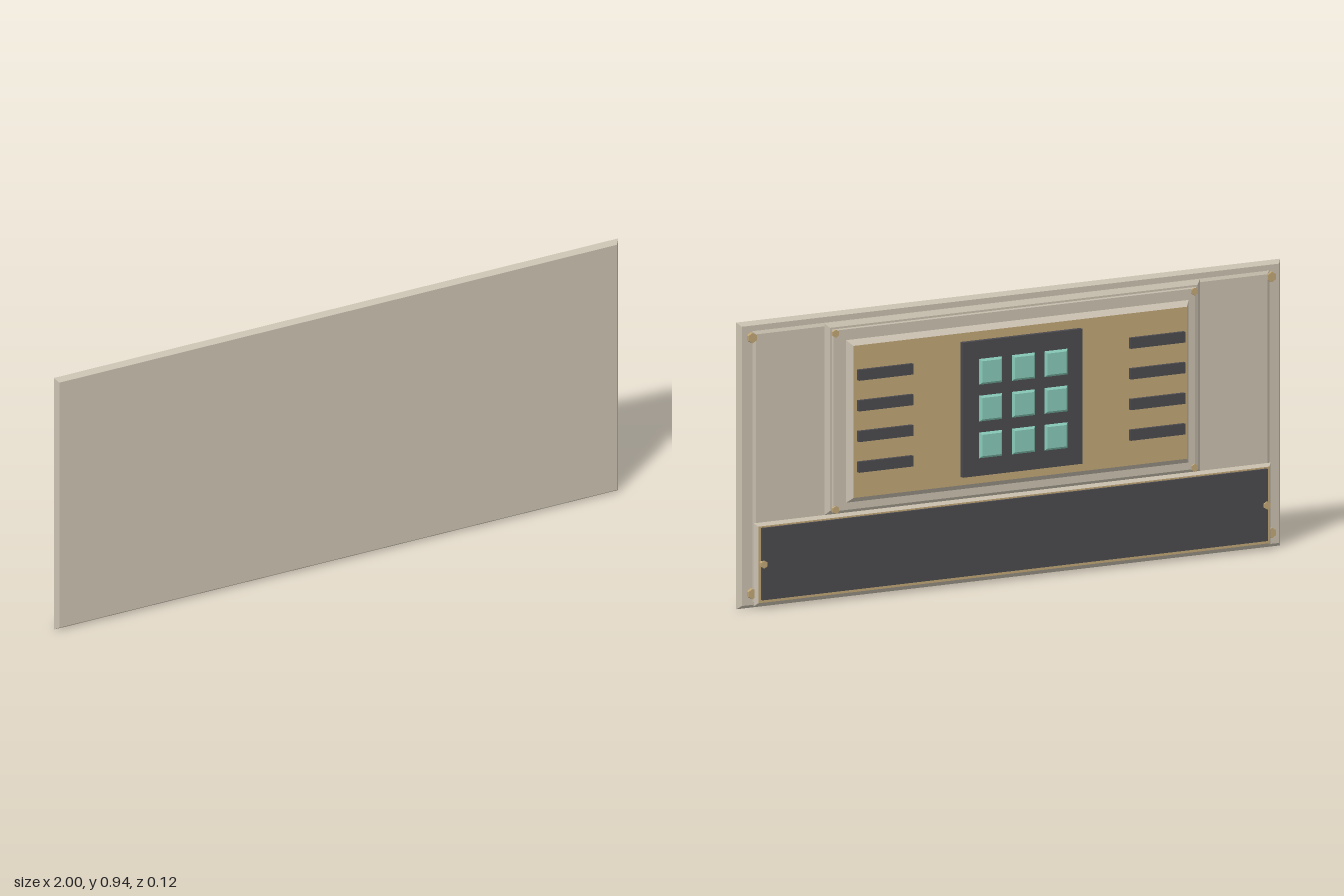
import * as THREE from 'three';

const mat = (name, color) => {
  const m = new THREE.MeshStandardMaterial({ color });
  m.name = name;
  return m;
};

export function createModel() {
  const cream = mat('warm grey shell', 0xc9c0af);
  const gold = mat('tan metal', 0xc0a575);
  const dark = mat('charcoal', 0x4a4a4e);
  const teal = mat('teal keys', 0x86c8b6);

  const model = new THREE.Group();
  model.name = 'controlPanel';

  const add = (name, geometry, material, x = 0, y = 0, z = 0) => {
    const mesh = new THREE.Mesh(geometry, material);
    mesh.name = name;
    mesh.position.set(x, y, z);
    model.add(mesh);
    return mesh;
  };

  // Plate whose edges slope to a ridge halfway through its thickness
  const plate = (name, w, y0, y1, zBack, zFront, bevel, material, x = 0) => {
    const hw = w / 2 - bevel, hh = (y1 - y0) / 2 - bevel;
    const shape = new THREE.Shape([
      new THREE.Vector2(-hw, -hh), new THREE.Vector2(hw, -hh),
      new THREE.Vector2(hw, hh), new THREE.Vector2(-hw, hh),
    ]);
    const depth = 0.001, t = (zFront - zBack - depth) / 2;
    const geo = new THREE.ExtrudeGeometry(shape, {
      depth, bevelEnabled: true, bevelSegments: 1, bevelSize: bevel, bevelThickness: t,
    });
    return add(name, geo, material, x, (y0 + y1) / 2, zBack + t);
  };

  const box = (name, x0, x1, y0, y1, z0, z1, material) =>
    add(name, new THREE.BoxGeometry(x1 - x0, y1 - y0, z1 - z0), material,
      (x0 + x1) / 2, (y0 + y1) / 2, (z0 + z1) / 2);

  // Six-sided bolt along z
  const bolt = (name, x, y, z0, z1, r) => {
    const geo = new THREE.CylinderGeometry(r, r, z1 - z0, 6).toNonIndexed();
    geo.rotateX(Math.PI / 2);
    geo.computeVertexNormals();
    add(name, geo, gold, x, y, (z0 + z1) / 2);
  };

  // Stacked backing plates
  plate('basePanel', 2, 0, 0.935, 0.03, 0.061, 0.012, cream);
  plate('backSheet', 1.9, 0.02, 0.905, 0.021, 0.033, 0.01, cream);
  plate('centrePlate', 1.38, 0.28, 0.905, 0.008, 0.03, 0.014, cream);
  plate('centreStep', 1.34, 0.288, 0.885, 0.003, 0.01, 0.004, cream);

  // Lower tray: tan face with shell-coloured rim
  plate('lowerFrame', 1.9, 0.01, 0.28, 0.008, 0.03, 0.01, [gold, cream]);
  box('lowerPanel', -0.93, 0.93, 0.03, 0.265, -0.001, 0.01, dark);

  // Console block with tan face
  plate('console', 1.26, 0.32, 0.85, -0.033, 0.004, 0.017, [gold, cream]);

  // Keypad
  box('keypad', -0.22, 0.22, 0.365, 0.805, -0.05, -0.032, dark);
  for (let row = 0; row < 3; row++) {
    for (let col = -1; col <= 1; col++) {
      const y = 0.465 + row * 0.12;
      plate('key', 0.084, y - 0.042, y + 0.042, -0.06, -0.046, 0.007, teal, col * 0.12);
    }
  }

  // Mirrored vents and bolts
  for (const s of [-1, 1]) {
    for (let i = 0; i < 4; i++) {
      const y = 0.42 + i * 0.1;
      box('vent', s * 0.5 - 0.1, s * 0.5 + 0.1, y, y + 0.035, -0.046, -0.032, dark);
    }
    for (const y of [0.05, 0.885]) bolt('cornerBolt', s * 0.955, y, 0.017, 0.032, 0.017);
    for (const y of [0.297, 0.872]) bolt('centreBolt', s * 0.66, y, -0.003, 0.006, 0.013);
    bolt('panelKnob', s * 0.925, 0.147, -0.006, 0.008, 0.013);
  }

  return model;
}
